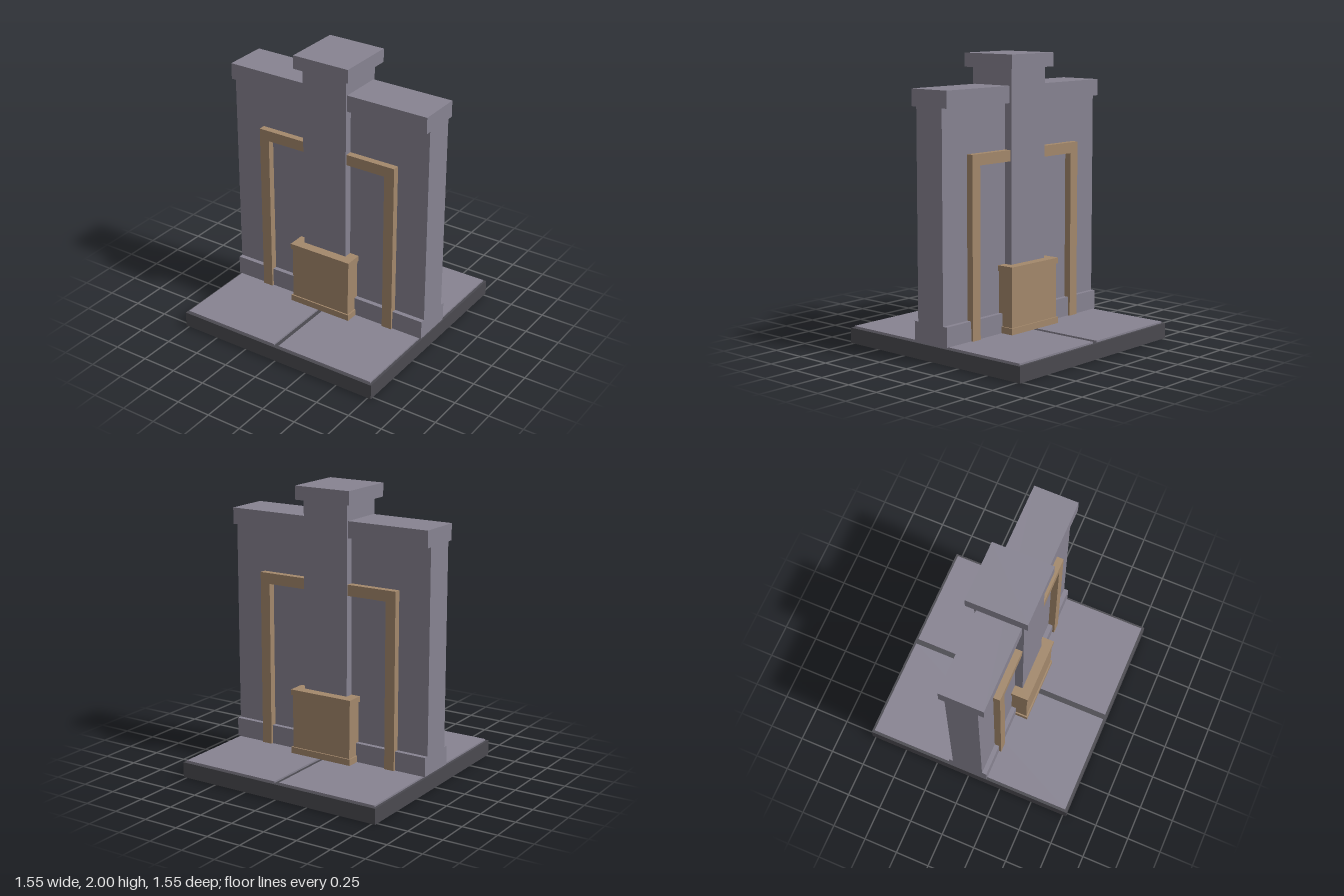
import * as THREE from 'three';

const stone = new THREE.MeshStandardMaterial({ color: 0x878391 });
stone.name = 'grey stone';
const dark = new THREE.MeshStandardMaterial({ color: 0x4a494f });
dark.name = 'dark stone';
const tan = new THREE.MeshStandardMaterial({ color: 0xa3886b });
tan.name = 'tan trim';

export function createModel() {
  const model = new THREE.Group();
  model.name = 'monument';

  // Box centred on x and z (unless x is given), spanning y0 to y1
  const block = (name, material, width, depth, y0, y1, x = 0) => {
    const mesh = new THREE.Mesh(new THREE.BoxGeometry(width, y1 - y0, depth), material);
    mesh.name = name;
    mesh.position.set(x, (y0 + y1) / 2, 0);
    model.add(mesh);
  };

  // Floor slab with two paving panels and a gap between them
  block('baseSlab', dark, 1.55, 1.55, 0, 0.108);
  for (const side of [-1, 1]) {
    block(side > 0 ? 'leftPaving' : 'rightPaving', stone, 0.738, 1.514, 0.108, 0.12, side * 0.388);
  }

  // Wall: skirting, body and coping
  block('wallSkirting', stone, 1.55, 0.294, 0.12, 0.255);
  block('wallBody', stone, 1.55, 0.228, 0.255, 1.675);
  block('wallCoping', stone, 1.55, 0.314, 1.675, 1.79);

  // Central pillar and its cap
  block('pillar', stone, 0.344, 0.344, 0.12, 1.905);
  block('pillarCap', stone, 0.428, 0.428, 1.905, 2);

  // Plinth around the pillar foot, with projecting bands
  block('plinthFoot', tan, 0.482, 0.482, 0.12, 0.165);
  block('plinthBody', tan, 0.462, 0.462, 0.165, 0.545);
  block('plinthRim', tan, 0.482, 0.482, 0.545, 0.584);

  // Portal-shaped trim on both faces of the wall
  const outline = [[-0.543, 0.12], [-0.468, 0.12], [-0.468, 1.286], [0.468, 1.286],
    [0.468, 0.12], [0.543, 0.12], [0.543, 1.362], [-0.543, 1.362]];
  const shape = new THREE.Shape(outline.map(([x, y]) => new THREE.Vector2(x, y)));
  const trim = new THREE.ExtrudeGeometry(shape, { depth: 0.063, bevelEnabled: false });
  trim.translate(0, 0, 0.1);
  for (const [name, turn] of [['frontTrim', 0], ['backTrim', Math.PI]]) {
    const mesh = new THREE.Mesh(trim, tan);
    mesh.name = name;
    mesh.rotation.y = turn;
    model.add(mesh);
  }
  return model;
}
